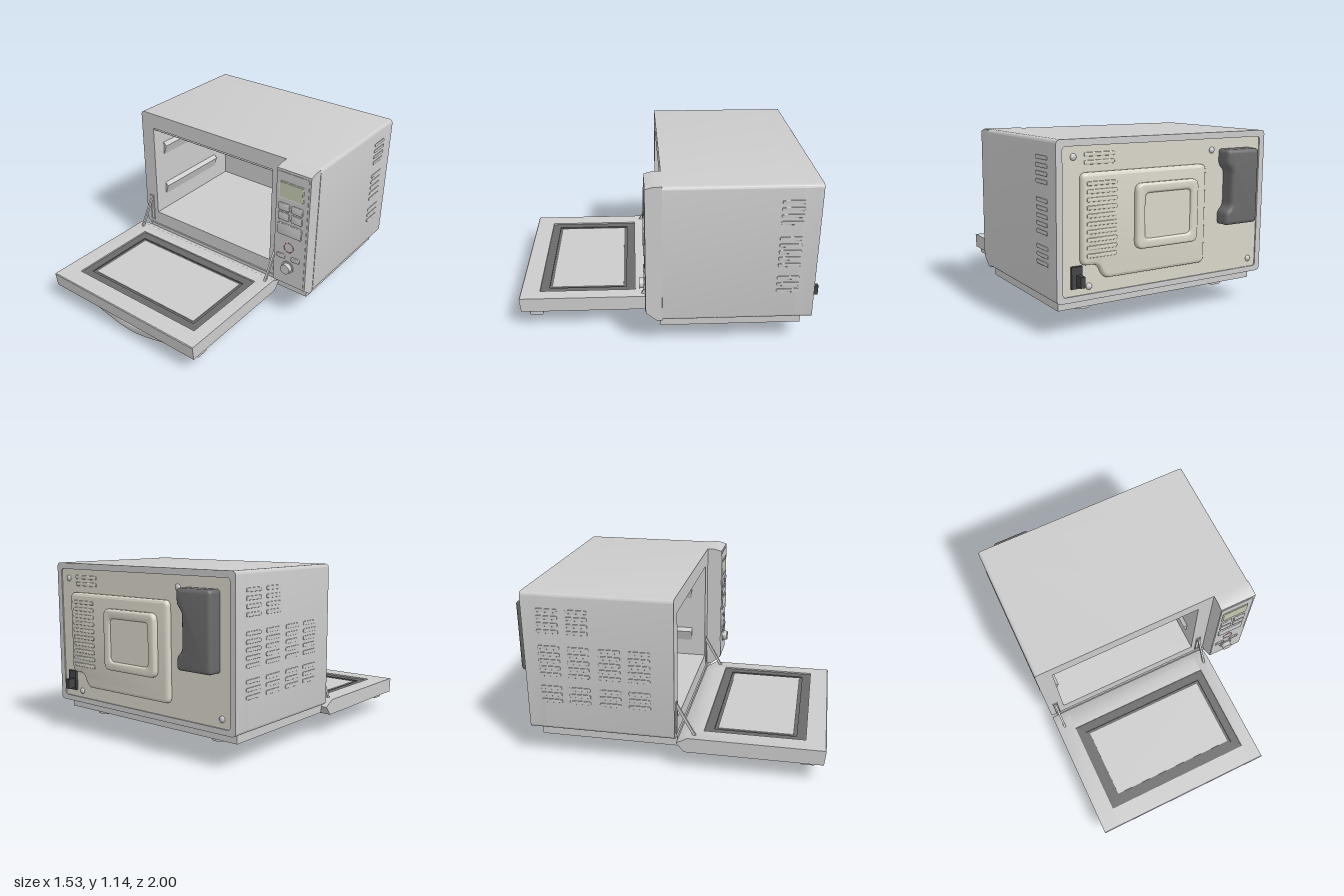
import * as THREE from 'three';
import { toCreasedNormals } from 'three/addons/utils/BufferGeometryUtils.js';

const mat = (color) => new THREE.MeshStandardMaterial({ color });
const grey = mat(0xcccccc), cream = mat(0xd8d5c8), dark = mat(0x6a6a6a);
const black = mat(0x444444), green = mat(0xc4cab0), pale = mat(0xe2e4d8), red = mat(0xdd6677);

// rounded rectangle from its edges
function rect(x0, x1, y0, y1, r = 0, S = THREE.Shape) {
  const s = new S();
  if (!r) return s.setFromPoints([[x0, y0], [x1, y0], [x1, y1], [x0, y1], [x0, y0]].map((p) => new THREE.Vector2(...p)));
  s.moveTo(x0 + r, y0);
  s.lineTo(x1 - r, y0); s.quadraticCurveTo(x1, y0, x1, y0 + r);
  s.lineTo(x1, y1 - r); s.quadraticCurveTo(x1, y1, x1 - r, y1);
  s.lineTo(x0 + r, y1); s.quadraticCurveTo(x0, y1, x0, y1 - r);
  s.lineTo(x0, y0 + r); s.quadraticCurveTo(x0, y0, x0 + r, y0);
  return s;
}
const ring = (outer, ...holes) => { outer.holes.push(...holes); return outer; };
const poly = (pts) => new THREE.Shape(pts.map((p) => new THREE.Vector2(...p)));

// polygon with rounded corners
function softPoly(pts, r) {
  const s = new THREE.Shape(), v = pts.map((p) => new THREE.Vector2(...p));
  v.forEach((p, i) => {
    const a = v[(i + v.length - 1) % v.length], b = v[(i + 1) % v.length];
    const q = p.clone().add(a.clone().sub(p).setLength(r)), t = p.clone().add(b.clone().sub(p).setLength(r));
    if (i) s.lineTo(q.x, q.y); else s.moveTo(q.x, q.y);
    s.quadraticCurveTo(p.x, p.y, t.x, t.y);
  });
  s.closePath();
  return s;
}

// extrusion from z0 to z1, with an optional inward bevel on both ends
function slab(shape, z0, z1, bevel = 0) {
  const g = new THREE.ExtrudeGeometry(shape, {
    depth: z1 - z0 - 2 * bevel, curveSegments: 8, bevelEnabled: bevel > 0,
    bevelSize: bevel, bevelOffset: -bevel, bevelThickness: bevel, bevelSegments: 3,
  });
  g.translate(0, 0, z0 + bevel);
  return toCreasedNormals(g, 0.6);
}
// (z, y) profile swept along x
const sweepX = (pts, x0, x1) => slab(poly(pts), 0, x1 - x0).rotateY(-Math.PI / 2).translate(x1, 0, 0);
// shape drawn as (x, -z), lying flat between two heights
const flat = (shape, y0, y1) => slab(shape, y0, y1).rotateX(-Math.PI / 2);
const box = (x0, x1, y0, y1, z0, z1) =>
  new THREE.BoxGeometry(x1 - x0, y1 - y0, z1 - z0).translate((x0 + x1) / 2, (y0 + y1) / 2, (z0 + z1) / 2);

export function createModel() {
  const model = new THREE.Group();
  const group = (name) => { const g = new THREE.Group(); g.name = name; model.add(g); return g; };
  const add = (name, geo, material = grey, parent = model) => {
    const m = new THREE.Mesh(geo, material);
    m.name = name;
    parent.add(m);
    return m;
  };

  // housing: hollow front, closed rear and a rim round the back panel
  const housing = group('housing');
  const outline = () => rect(-0.76, 0.76, 0.21, 1.14, 0.03);
  add('cavityShell', slab(ring(outline(), rect(-0.65, 0.4, 0.32, 1.03, 0, THREE.Path)), -0.8, 0.05), grey, housing);
  add('rearBlock', slab(outline(), -0.9, -0.8), grey, housing);
  add('rearRim', slab(ring(outline(), rect(-0.72, 0.72, 0.245, 1.1, 0.02, THREE.Path)), -0.915, -0.9), grey, housing);
  add('base', box(-0.72, 0.72, 0.15, 0.215, -0.85, 0.06), grey, housing);
  for (const x of [-0.51, 0.51]) for (const z of [-0.06, -0.73])
    add('foot', new THREE.CylinderGeometry(0.06, 0.06, 0.04, 32).translate(x, 0.135, z), grey, housing);

  // cavity shelf rails and top bar
  const cavity = group('cavityFittings');
  for (const y of [0.78, 0.44]) for (const side of [-1, 1]) {
    const tip = [[0, 0], [0.025, 0.075], [0, 0.1]].map(([dx, dy]) => [-0.125 + side * (0.525 - dx), y + dy]);
    add('shelfRail', slab(poly(tip), -0.65, -0.05), grey, cavity);
  }
  add('topBar', new THREE.CylinderGeometry(0.01, 0.01, 1.05, 12).rotateZ(Math.PI / 2).translate(-0.125, 1.018, 0.03), grey, cavity);

  // control panel
  const panel = group('controlPanel');
  add('panelBody', sweepX([[0.05, 0.21], [0.085, 0.21], [0.155, 0.27], [0.155, 1.125], [0.1, 1.14], [0.05, 1.14]], 0.505, 0.757), grey, panel);
  add('panelFace', slab(rect(0.51, 0.745, 0.275, 1.108, 0.015), 0.15, 0.158), grey, panel);
  add('displayFrame', slab(rect(0.527, 0.713, 0.922, 1.045, 0.008), 0.15, 0.161), pale, panel);
  add('display', slab(rect(0.535, 0.705, 0.93, 1.037), 0.15, 0.163), green, panel);
  for (const [x0, x1, y0, y1] of [
    [0.53, 0.613, 0.835, 0.89], [0.628, 0.713, 0.835, 0.89], [0.53, 0.613, 0.765, 0.822],
    [0.628, 0.713, 0.765, 0.822], [0.53, 0.713, 0.655, 0.742], [0.53, 0.597, 0.47, 0.505], [0.643, 0.71, 0.47, 0.505],
  ]) add('button', slab(rect(x0, x1, y0, y1, 0.012), 0.15, 0.166, 0.004), grey, panel);
  add('startRing', new THREE.TorusGeometry(0.036, 0.002, 8, 40).translate(0.62, 0.565, 0.158), red, panel);
  const disc = (r, z0, z1, x, y) =>
    new THREE.CylinderGeometry(r, r, z1 - z0, 32).rotateX(Math.PI / 2).translate(x, y, (z0 + z1) / 2);
  add('knobBase', disc(0.045, 0.15, 0.165, 0.62, 0.412), grey, panel);
  add('knob', disc(0.035, 0.16, 0.195, 0.62, 0.412), grey, panel);

  // open door: side rails, end bars, bottom skin and window
  const door = group('door');
  const rear = [[0.11, 0.13], [0.22, 0.13], [0.22, 0.23], [0.13, 0.23], [0.06, 0.19]];
  const front = [[0.87, 0.13], [0.99, 0.13], [1.0, 0.225], [0.995, 0.23], [0.87, 0.23]];
  const side = [rear[0], front[1], front[2], front[3], rear[3], rear[4]];
  add('doorLeftRail', sweepX(side, 0.4, 0.495), grey, door);
  add('doorRightRail', sweepX(side, -0.76, -0.64), grey, door);
  add('doorHingeBar', sweepX(rear, -0.64, 0.4), grey, door);
  add('doorTopBar', sweepX(front, -0.64, 0.4), grey, door);
  add('doorSkin', box(-0.64, 0.4, 0.13, 0.195, 0.22, 0.87), grey, door);
  add('windowSurround', flat(ring(rect(-0.64, 0.4, -0.87, -0.22), rect(-0.585, 0.345, -0.81, -0.28, 0, THREE.Path)), 0.19, 0.22), dark, door);
  add('windowSeal', flat(ring(rect(-0.585, 0.345, -0.81, -0.28), rect(-0.56, 0.325, -0.79, -0.3, 0, THREE.Path)), 0.19, 0.212), dark, door);
  add('window', box(-0.56, 0.325, 0.19, 0.217, 0.3, 0.79), grey, door);

  // wavy handle under the door
  const wave = (x, end, mid) => {
    const t = Math.min(1, Math.abs(x + 0.115) / 0.53);
    return mid + (end - mid) * t * t * (3 - 2 * t);
  };
  const low = [], high = [];
  for (let i = 0; i <= 40; i++) {
    const x = -0.712 + (1.192 * i) / 40;
    low.push([x, wave(x, 0.095, 0.002)]);
    high.unshift([x, wave(x, 0.133, 0.06)]);
  }
  add('handle', slab(poly([...low, ...high]), 0.845, 0.935, 0.008), grey, door);

  // hinge arms with their slot plates
  const hinges = group('hinges');
  for (const x of [-0.705, 0.45]) {
    add('hingeSlot', slab(ring(rect(x - 0.018, x + 0.018, 0.235, 0.455), rect(x - 0.011, x + 0.011, 0.245, 0.445, 0, THREE.Path)), 0.045, 0.056), grey, hinges);
    add('hingeArm', sweepX([[0.045, 0.43], [0.165, 0.22], [0.185, 0.22], [0.058, 0.445]], x - 0.007, x + 0.007), grey, hinges);
  }

  // side vents, in groups of four, five and three
  const vents = group('sideVents');
  const banks = [[1.03, 4], [0.785, 5], [0.51, 3]];
  const slot = (sideX, z, y) => add('ventSlot',
    slab(rect(-0.07, 0.07, -0.012, 0.012, 0.01), -0.004, 0.004, 0.002).rotateY(Math.PI / 2).translate(sideX, y, z), grey, vents);
  const column = (sideX, z, list) => list.forEach(([top, n]) => {
    for (let i = 0; i < n; i++) slot(sideX, z, top - i * 0.046);
  });
  column(0.76, -0.74, banks);
  [-0.75, -0.56, -0.36, -0.17].forEach((z, i) => column(-0.76, z, i < 2 ? banks : banks.slice(1)));

  // back panel with stepped pressings
  const back = group('backPanel');
  add('backPlate', slab(rect(-0.72, 0.72, 0.245, 1.1, 0.02), -0.908, -0.89), cream, back);
  add('largePressing', slab(softPoly([[-0.27, 0.33], [0.46, 0.33], [0.5, 0.42], [0.61, 0.42], [0.61, 0.95], [-0.27, 0.95]], 0.04), -0.94, -0.88, 0.02), cream, back);
  add('smallPressing', slab(ring(rect(-0.19, 0.26, 0.48, 0.87, 0.05), rect(-0.13, 0.2, 0.54, 0.81, 0.03, THREE.Path)), -0.972, -0.91, 0.015), cream, back);
  add('smallPressingFloor', slab(rect(-0.16, 0.23, 0.51, 0.84, 0.03), -0.96, -0.92), cream, back);
  const louvre = (y, z) => add('backLouvre', slab(rect(0.38, 0.58, y - 0.012, y + 0.012, 0.01), z - 0.006, z + 0.006, 0.003), cream, back);
  for (let i = 0; i < 2; i++) louvre(1.05 - i * 0.045, -0.908);
  for (let i = 0; i < 10; i++) louvre(0.89 - i * 0.046, -0.94);
  for (const [x, y] of [[0.65, 1.04], [-0.33, 1.03], [-0.66, 0.3], [0.55, 0.29]])
    add('screw', new THREE.SphereGeometry(0.02, 16, 8).scale(1, 1, 0.6).translate(x, y, -0.91), grey, back);

  // rear duct cover with a notched inner edge
  add('ductCover', slab(softPoly([[-0.645, 0.56], [-0.39, 0.56], [-0.39, 0.64], [-0.43, 0.68], [-0.43, 0.9],
    [-0.39, 0.94], [-0.39, 1.035], [-0.645, 1.035]], 0.025), -1, -0.88, 0.025), dark);

  // power socket
  const socket = group('powerSocket');
  add('socketPlate', box(0.6, 0.67, 0.29, 0.42, -0.925, -0.89), black, socket);
  add('socketPlug', box(0.61, 0.64, 0.305, 0.37, -0.975, -0.92), black, socket);
  return model;
}
